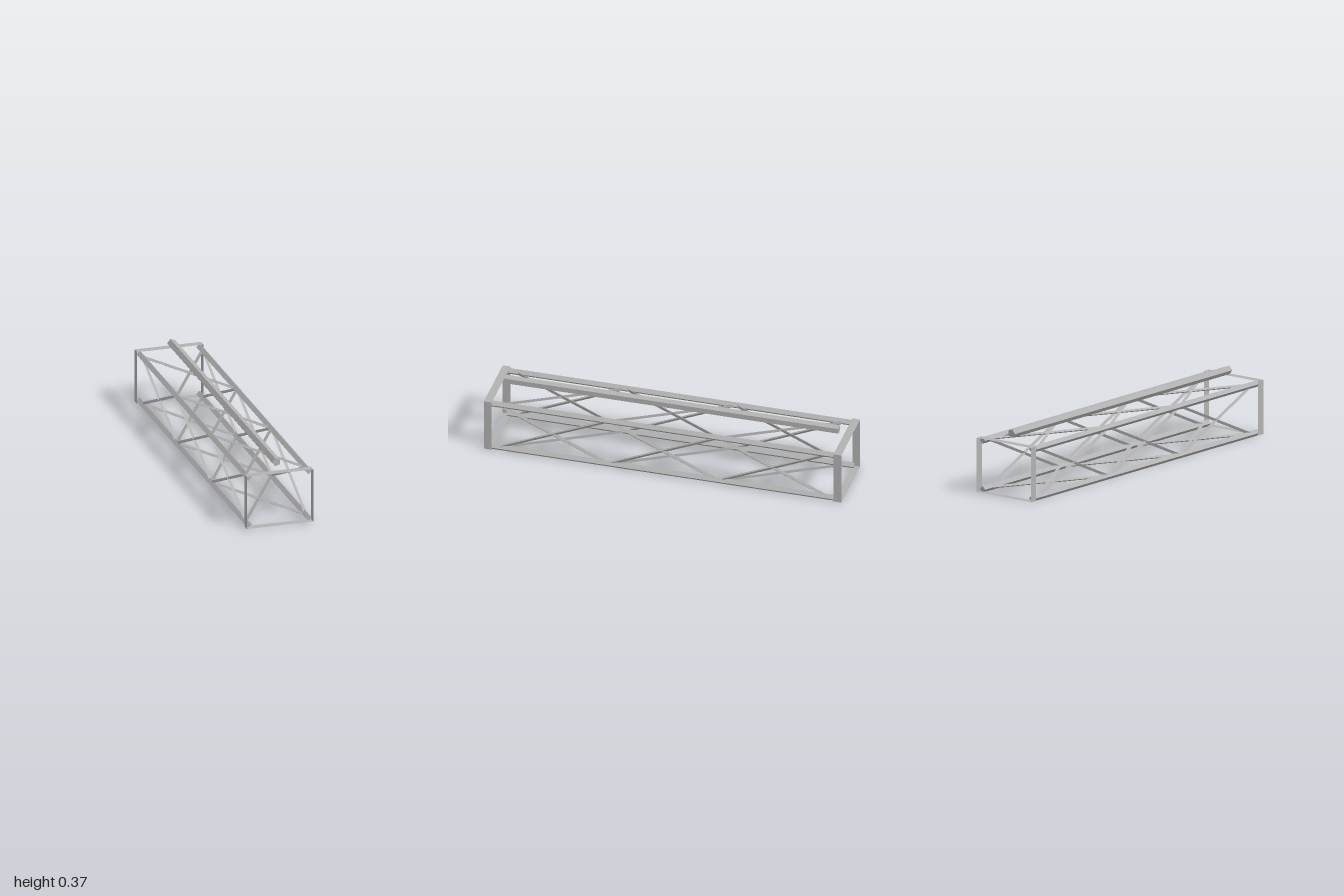
import * as THREE from 'three';

const X = 0.17, LOW = 0.019, HIGH = 0.29;   // chord centre lines
const END = 0.922, BAYS = 3;                // braced length and bay count

export function createModel() {
  const group = new THREE.Group();
  const steel = new THREE.MeshStandardMaterial({ color: 0xb2b2b2, flatShading: true });
  steel.name = 'grey steel';
  const sheet = new THREE.MeshStandardMaterial({ color: 0xb2b2b2, side: THREE.DoubleSide });
  sheet.name = 'grey sheet';

  // Few-sided rod from a to b with one ridge pointing along `ridge`
  function rod(name, a, b, radius, sides, ridge) {
    const axis = b.clone().sub(a);
    const geometry = new THREE.CylinderGeometry(radius, radius, axis.length(), sides);
    const y = axis.normalize();
    const z = ridge.clone().addScaledVector(y, -ridge.dot(y)).normalize();
    const x = new THREE.Vector3().crossVectors(y, z);
    geometry.applyMatrix4(new THREE.Matrix4().makeBasis(x, y, z));
    const mesh = new THREE.Mesh(geometry, steel);
    mesh.name = name;
    mesh.position.copy(a).add(b).multiplyScalar(0.5);
    group.add(mesh);
  }
  const v = (x, y, z) => new THREE.Vector3(x, y, z);
  const left = v(-1, 0, 0);

  // Four corner chords, diamond in section
  for (const x of [-X, X]) for (const y of [LOW, HIGH])
    rod('cornerChord', v(x, y, -0.972), v(x, y, 0.972), 0.0185, 4, left);

  // Five-sided bar above the frame
  rod('topBar', v(0, 0.347, -0.935), v(0, 0.347, 0.935), 0.0245, 5, left);

  // Crossed three-sided braces on all four faces
  const bay = 2 * END / BAYS;
  for (let i = 0; i < BAYS; i++) {
    const front = END - i * bay, back = front - bay;
    for (const x of [-X, X]) {
      rod('sideBrace', v(x, HIGH, front), v(x, LOW, back), 0.009, 3, v(0, 1, 0));
      rod('sideBrace', v(x, LOW, front), v(x, HIGH, back), 0.009, 3, v(0, -1, 0));
    }
    for (const y of [LOW, HIGH]) for (const s of [-1, 1])
      rod('crossBrace', v(s * X, y, front), v(-s * X, y, back), 0.009, 3, left);
  }

  // Thin open bands wrapped around both ends
  for (const s of [-1, 1]) {
    const band = new THREE.CylinderGeometry(Math.SQRT1_2, Math.SQRT1_2, 1, 4, 1, true)
      .rotateY(Math.PI / 4).rotateX(Math.PI / 2).scale(0.375, 0.301, 0.044).toNonIndexed();
    band.computeVertexNormals();
    const mesh = new THREE.Mesh(band, sheet);
    mesh.name = 'endBand';
    mesh.position.set(0, 0.1565, s * 0.978);
    group.add(mesh);
  }
  return group;
}
